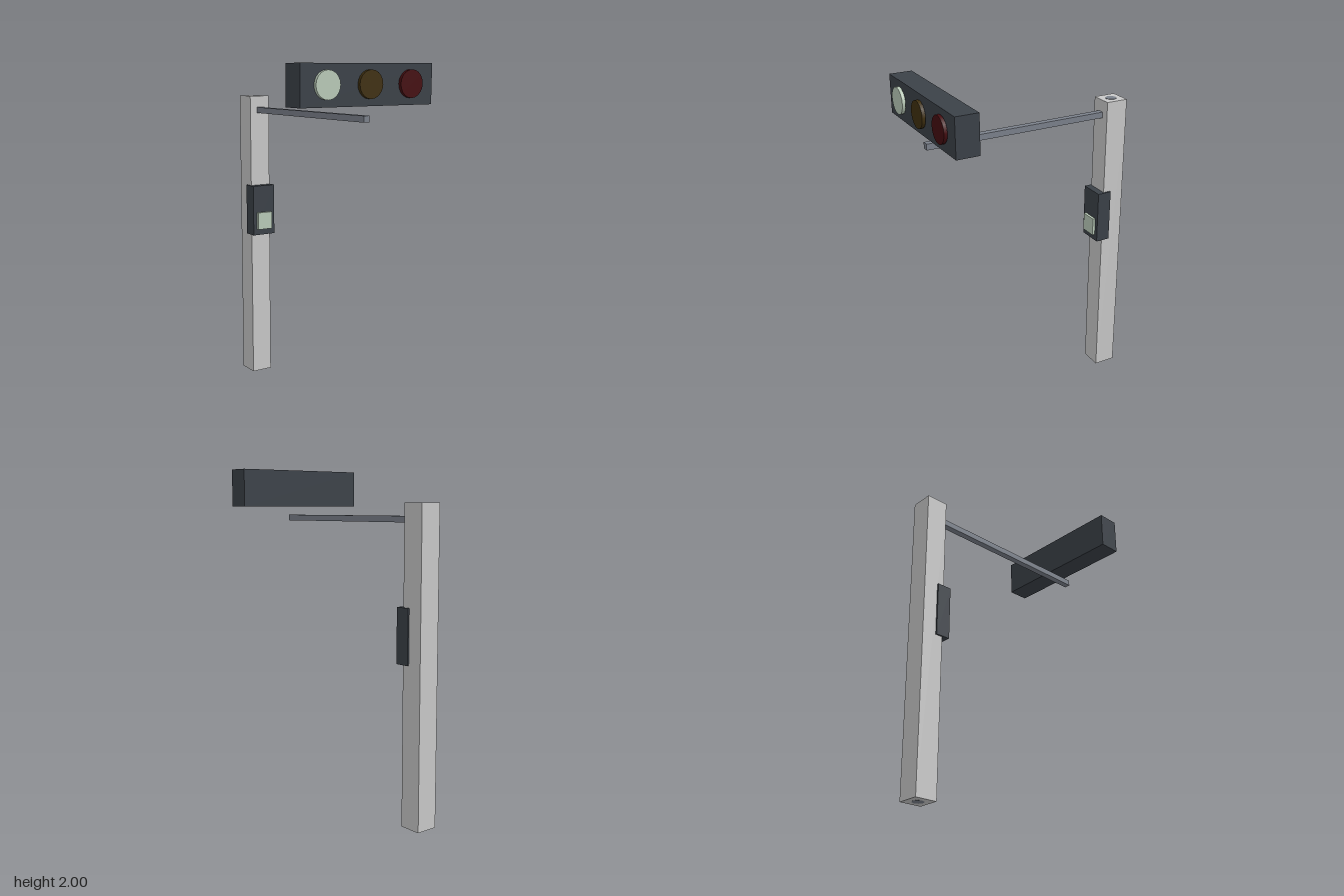
import * as THREE from 'three';

const material = (name, color) => {
  const m = new THREE.MeshStandardMaterial({ color });
  m.name = name;
  return m;
};

export function createModel() {
  const group = new THREE.Group();
  const concrete = material('lightGrey', 0xc8c8c8);
  const steel = material('steelGrey', 0x7b818b);
  const casing = material('darkSlate', 0x3b4148);
  const green = material('paleGreen', 0xb9cab8);
  const amber = material('darkAmber', 0x40300f);
  const red = material('darkRed', 0x450d10);

  const add = (name, geometry, mat, x, y, z) => {
    const mesh = new THREE.Mesh(geometry, mat);
    mesh.name = name;
    mesh.position.set(x, y, z);
    group.add(mesh);
    return mesh;
  };
  // Box given by its extents, centred on x = 0
  const box = (name, mat, width, y0, y1, z0, z1) =>
    add(name, new THREE.BoxGeometry(width, y1 - y0, z1 - z0), mat, 0, (y0 + y1) / 2, (z0 + z1) / 2);

  // Post with the core showing at both ends
  box('post', concrete, 0.133, 0, 1.8, -0.638, -0.505);
  const core = new THREE.CylinderGeometry(0.034, 0.034, 0.004, 8);
  add('postCoreTop', core, steel, 0, 1.8, -0.572);
  add('postCoreBottom', core, steel, 0, 0.001, -0.572);

  // Arm reaching forward under the signal
  box('arm', steel, 0.038, 1.695, 1.73, -0.51, 0.6);

  // Crossing button unit on the post
  box('buttonHousing', casing, 0.152, 0.925, 1.24, -0.55, -0.463);
  box('button', green, 0.102, 0.962, 1.07, -0.47, -0.447);

  // Signal head with three lamps
  box('signalHousing', casing, 0.85, 1.78, 2, 0.484, 0.616);
  const lens = new THREE.CylinderGeometry(0.075, 0.075, 0.019, 20).rotateX(Math.PI / 2);
  [['greenLamp', green, -0.27], ['amberLamp', amber, 0], ['redLamp', red, 0.268]].forEach(
    ([name, mat, x]) => add(name, lens, mat, x, 1.892, 0.6285));

  return group;
}
